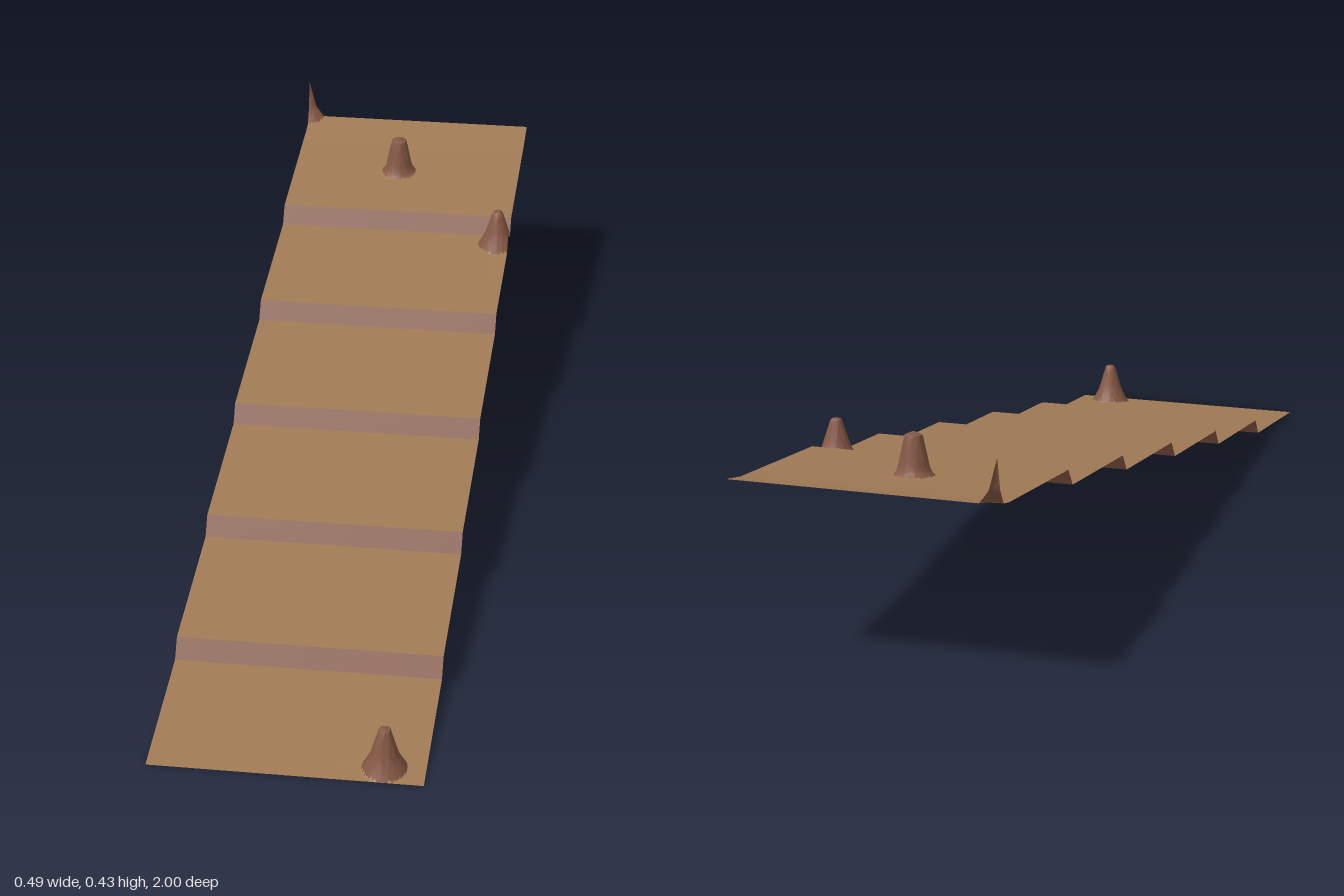
import * as THREE from 'three';
import { toCreasedNormals } from 'three/addons/utils/BufferGeometryUtils.js';

const HALF_W = 0.243;

// Ground section from front to back: [z, y], gentle treads and steep risers
const section = [[1, 0.001]];
for (let i = 0; i < 5; i++) {
  const z = 0.7 - i * 0.3275, y = 0.028 + i * 0.062;
  section.push([z + 0.012, y], [z - 0.012, y + 0.034]);
}
section.push([-0.94, 0.341], [-1, 0.353]);

// Rock spikes: centre and radius/height profile from tip to foot
const spikes = [
  { x: 0.17, z: 0.96, profile: [[0, 0.084], [0.01, 0.081], [0.026, 0.026], [0.04, 0]] },
  { x: 0.219, z: -0.565, profile: [[0, 0.079], [0.01, 0.076], [0.026, 0.026], [0.04, 0]] },
  { x: -0.017, z: -0.79, profile: [[0, 0.079], [0.016, 0.072], [0.029, 0.008], [0.037, 0]] },
  { x: -HALF_W, z: -1, profile: [[0, 0.081], [0.015, 0.023], [0.032, 0]] },
];

// Piecewise linear lookup along points sorted by rising first value
function lerpAt(points, t) {
  for (let i = 1; i < points.length; i++) {
    const [a, u] = points[i - 1], [b, v] = points[i];
    if (t <= b) return u + (v - u) * Math.max(0, (t - a) / (b - a));
  }
  return points[points.length - 1][1];
}

const ascending = section.slice().reverse();
const groundY = (z) => lerpAt(ascending, z);
const spikeY = (x, z) => Math.max(...spikes.map((s) => lerpAt(s.profile, Math.hypot(x - s.x, z - s.z))));

// Grid lines: base lines plus fine spacing around each spike
function gridLines(base, key, limit) {
  const lines = [...base];
  for (const s of spikes)
    for (let i = -12; i <= 12; i++) lines.push(s[key] + i * 0.0036);
  lines.sort((a, b) => a - b);
  const inside = lines.filter((v) => Math.abs(v) <= limit + 1e-6);
  return inside.filter((v, i) => i === 0 || v - inside[i - 1] > 1e-5);
}

export function createModel() {
  const group = new THREE.Group();
  const material = (name, color) => {
    const m = new THREE.MeshStandardMaterial({ color, side: THREE.DoubleSide });
    m.name = name;
    return m;
  };
  const earth = material('earth brown', 0xa07a55);
  const rock = material('rock brown', 0x855744);

  const xs = gridLines([-HALF_W, HALF_W], 'x', HALF_W);
  const zs = gridLines(section.map((p) => p[0]), 'z', 1);
  const positions = [];
  for (const z of zs) for (const x of xs) positions.push(x, groundY(z) + spikeY(x, z), z);

  // Sort the grid cells into treads, risers and spikes
  const cells = { treads: [], risers: [], spikes: [] };
  const n = xs.length;
  for (let j = 0; j < zs.length - 1; j++) {
    const slope = (groundY(zs[j]) - groundY(zs[j + 1])) / (zs[j + 1] - zs[j]);
    for (let i = 0; i < n - 1; i++) {
      const raised = spikeY((xs[i] + xs[i + 1]) / 2, (zs[j] + zs[j + 1]) / 2) > 0.001;
      const part = raised ? 'spikes' : slope > 0.6 ? 'risers' : 'treads';
      const a = j * n + i, b = a + 1, c = a + n, d = c + 1;
      cells[part].push(a, c, b, b, c, d);
    }
  }

  const addPart = (name, index, mat) => {
    const g = new THREE.BufferGeometry();
    g.setAttribute('position', new THREE.Float32BufferAttribute(positions, 3));
    g.setIndex(index);
    const mesh = new THREE.Mesh(toCreasedNormals(g, 0.6), mat);
    mesh.name = name;
    group.add(mesh);
  };
  addPart('groundTreads', cells.treads, earth);
  addPart('stepRisers', cells.risers, rock);
  addPart('rockSpikes', cells.spikes, rock);
  return group;
}
